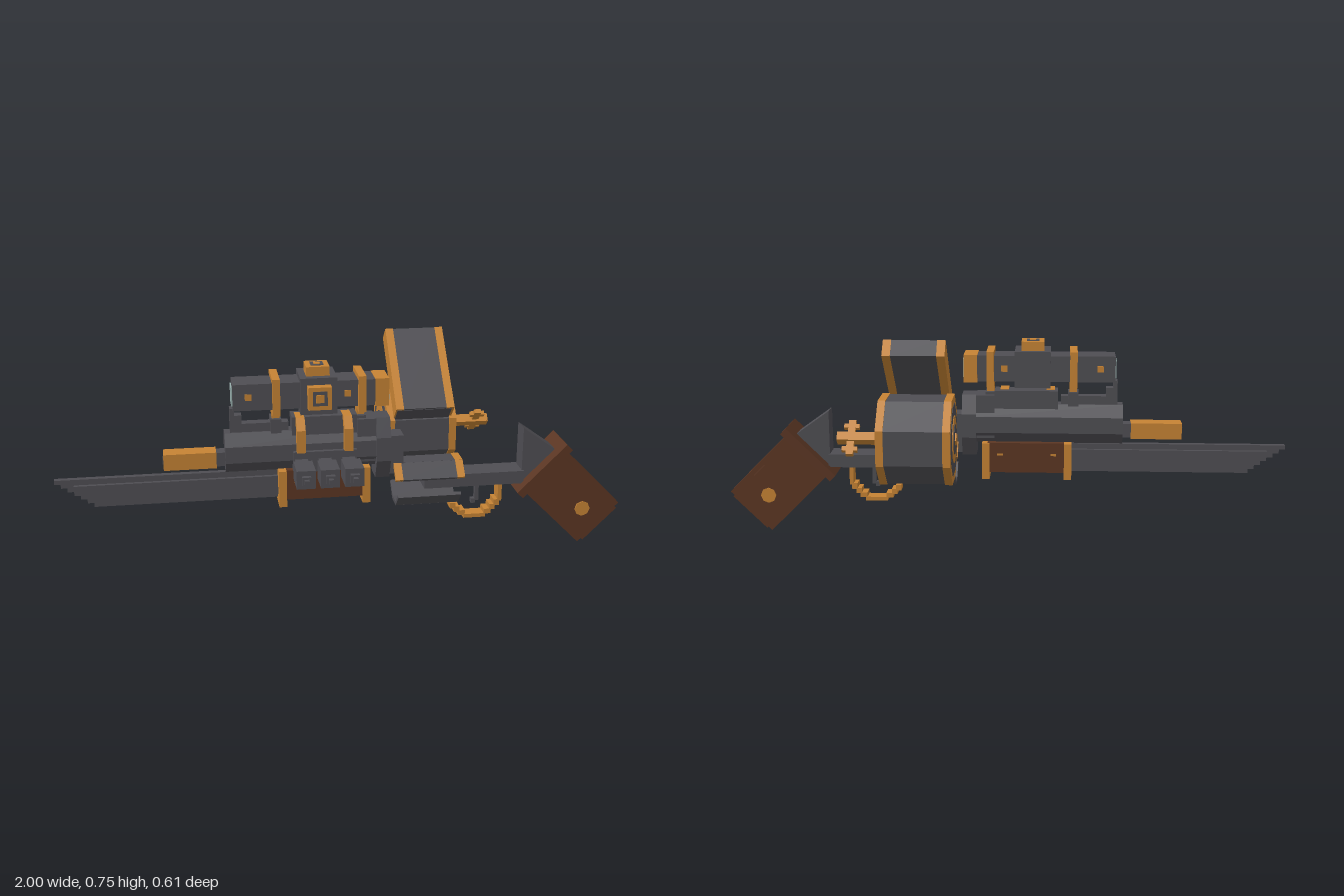
import * as THREE from 'three';

const material = (name, color) => {
  const m = new THREE.MeshStandardMaterial({ color, side: THREE.DoubleSide });
  m.name = name;
  return m;
};

export function createModel() {
  const model = new THREE.Group();
  model.name = 'rifle';
  const steel = material('steel', 0x4f4e53);
  const brass = material('brass', 0xc68334);
  const wood = material('wood', 0x5b3623);
  const glass = material('glass', 0x98afad);
  const CZ = 0.065; // barrel centre plane

  const add = (name, geometry, mat, parent = model) => {
    const mesh = new THREE.Mesh(geometry, mat);
    mesh.name = name;
    parent.add(mesh);
    return mesh;
  };
  // box from its limits
  const box = (name, mat, x0, x1, y0, y1, z0, z1, parent) => {
    const mesh = add(name, new THREE.BoxGeometry(x1 - x0, y1 - y0, z1 - z0), mat, parent);
    mesh.position.set((x0 + x1) / 2, (y0 + y1) / 2, (z0 + z1) / 2);
    return mesh;
  };
  // box centred on the barrel plane, with half width w
  const mid = (name, mat, x0, x1, y0, y1, w) => box(name, mat, x0, x1, y0, y1, CZ - w, CZ + w);
  // cross-section of [z, y] points drawn out along x
  const prism = (name, mat, points, x0, x1) => {
    const shape = new THREE.Shape(points.map(([z, y]) => new THREE.Vector2(-z, y)));
    const geo = new THREE.ExtrudeGeometry(shape, { depth: x1 - x0, bevelEnabled: false });
    geo.rotateY(Math.PI / 2).translate(x0, 0, 0);
    return add(name, geo, mat);
  };
  // side outline of [x, y] points with half width w
  const profile = (name, mat, points, w) => {
    const shape = new THREE.Shape(points.map(([x, y]) => new THREE.Vector2(x, y)));
    const geo = new THREE.ExtrudeGeometry(shape, { depth: 2 * w, bevelEnabled: false });
    return add(name, geo.translate(0, 0, CZ - w), mat);
  };
  const octagon = (cz, cy, rz, ry = rz) => {
    const k = Math.SQRT2 - 1;
    return [[1, k], [k, 1], [-k, 1], [-1, k], [-1, -k], [-k, -1], [k, -1], [1, -k]]
      .map(([z, y]) => [cz + z * rz, cy + y * ry]);
  };

  // blade: thin edge with a thicker core, both with stepped tips
  const blade = (name, x0, x1, slope, y0, y1, w) => {
    const points = [[x1, y0], [x1, y1], [x0, y1]];
    const steps = 7;
    for (let i = 1; i <= steps; i++) {
      const y = y1 - (y1 - y0) * i / steps;
      points.push([x0 + slope * (i - 1) / steps, y], [x0 + slope * i / steps, y]);
    }
    profile(name, steel, points, w);
  };
  blade('bladeEdge', -1, -0.2, 0.15, 0.237, 0.34, 0.01);
  blade('bladeCore', -0.935, -0.2, 0.08, 0.252, 0.32, 0.023);

  // barrel and muzzle
  mid('muzzle', brass, -0.63, -0.45, 0.363, 0.42, 0.03);
  mid('muzzleBore', steel, -0.633, -0.629, 0.38, 0.403, 0.012);
  mid('muzzleNeck', steel, -0.45, -0.42, 0.367, 0.416, 0.023);
  prism('barrel', steel, octagon(CZ, 0.415, 0.055, 0.07), -0.42, 0.1);
  [[-0.4, -0.385, 0.57], [-0.385, -0.36, 0.545], [-0.36, -0.2, 0.515]]
    .forEach(([x0, x1, top]) => mid('frontSight', steel, x0, x1, 0.46, top, 0.018));
  mid('scopeRail', steel, -0.19, 0.035, 0.47, 0.535, 0.035);
  mid('rearBreech', steel, 0.035, 0.1, 0.365, 0.52, 0.045);
  prism('collar', steel, [[0, 0.455], [0.03, 0.52], [0.1, 0.52], [0.13, 0.455], [0.13, 0.37],
    [0.1, 0.3], [0.03, 0.3], [0, 0.37]], 0.1, 0.15);
  mid('breechLink', steel, 0.15, 0.2, 0.31, 0.45, 0.035);

  // wooden foregrip with brass bands
  mid('foregrip', wood, -0.225, 0.06, 0.24, 0.348, 0.05);
  for (const x of [-0.24, 0.052]) mid('foregripBand', brass, x, x + 0.027, 0.217, 0.348, 0.06);
  for (const x of [-0.175, 0.015]) mid('foregripScrew', brass, x - 0.01, x + 0.01, 0.302, 0.31, 0.052);

  // side straps and the three valves
  box('valveBase', steel, -0.19, 0.03, 0.348, 0.42, 0.1, 0.135);
  for (const x of [-0.163, 0]) {
    prism('strap', brass, [[0.145, 0.42], [0.145, 0.5], [0.113, 0.537], [0.05, 0.537],
      [0.05, 0.52], [0.1, 0.52], [0.115, 0.495], [0.115, 0.42]], x - 0.015, x + 0.015);
  }
  for (const x of [-0.163, -0.082, 0]) {
    [[0.13, 0.18, 0.022], [0.18, 0.275, 0.032], [0.275, 0.291, 0.015], [0.291, 0.307, 0.008]]
      .forEach(([z0, z1, r]) => box('valve', steel, x - r, x + r, 0.373 - r, 0.373 + r, z0, z1));
  }

  // scope
  mid('scopeTube', steel, -0.39, 0.1, 0.571, 0.663, 0.049);
  mid('scopeHousing', steel, -0.163, -0.037, 0.552, 0.68, 0.065);
  mid('eyepiece', brass, 0.095, 0.143, 0.567, 0.665, 0.05);
  mid('eyepieceGlass', glass, 0.143, 0.147, 0.583, 0.648, 0.032);
  mid('objectiveGlass', glass, -0.394, -0.39, 0.583, 0.648, 0.032);
  for (const x of [-0.257, 0.036]) {
    mid('scopeRing', brass, x, x + 0.026, 0.552, 0.68, 0.065);
    mid('scopeFoot', brass, x, x + 0.026, 0.505, 0.552, 0.018);
    mid('scopeFootBase', steel, x - 0.005, x + 0.031, 0.48, 0.53, 0.032);
  }
  mid('topKnob', brass, -0.14, -0.06, 0.68, 0.712, 0.04);
  mid('topKnobCap', steel, -0.122, -0.078, 0.712, 0.714, 0.022);
  mid('topKnobPin', brass, -0.111, -0.089, 0.714, 0.716, 0.011);
  box('sideKnob', brass, -0.14, -0.06, 0.577, 0.656, 0.13, 0.161);
  box('sideKnobCap', steel, -0.125, -0.075, 0.592, 0.642, 0.161, 0.163);
  box('sideKnobPin', brass, -0.114, -0.086, 0.603, 0.631, 0.163, 0.165);
  for (const x of [-0.338, 0]) mid('scopeScrew', brass, x - 0.011, x + 0.011, 0.607, 0.629, 0.052);

  // large drum with ringed end faces
  const DY = 0.405, DZ = -0.161;
  prism('drum', steel, octagon(DZ, DY, 0.143), 0.185, 0.395);
  for (const x of [0.165, 0.388]) prism('drumRim', brass, octagon(DZ, DY, 0.146), x, x + 0.026);
  const disc = (name, mat, x, r) => {
    const mesh = add(name, new THREE.CylinderGeometry(r, r, 0.003, 16).rotateZ(Math.PI / 2), mat);
    mesh.position.set(x, DY, DZ);
  };
  for (const [x, s] of [[0.165, -1], [0.414, 1]]) {
    prism('drumFace', steel, octagon(DZ, DY, 0.118), x - 0.0015, x + 0.0015);
    disc('drumRing', brass, x + s * 0.002, 0.082);
    disc('drumHub', steel, x + s * 0.004, 0.052);
  }

  // crank on the drum axis
  const crank = new THREE.Group();
  crank.name = 'crank';
  crank.position.set(0, DY, DZ);
  crank.rotation.x = Math.PI / 4;
  model.add(crank);
  box('crankShaft', brass, 0.41, 0.565, -0.016, 0.016, -0.016, 0.016, crank);
  box('crankBoss', brass, 0.155, 0.17, -0.016, 0.016, -0.016, 0.016, crank);
  box('crankBar', brass, 0.505, 0.53, -0.068, 0.068, -0.008, 0.008, crank);
  for (const s of [-1, 1]) box('crankGrip', brass, 0.492, 0.545, s * 0.045 - 0.008, s * 0.045 + 0.008, -0.008, 0.008, crank);

  // raised lid above the drum
  const lid = new THREE.Group();
  lid.name = 'lid';
  lid.position.set(0, 0.615, -0.107);
  lid.rotation.x = Math.PI / 4;
  model.add(lid);
  box('lidPanel', steel, 0.212, 0.368, -0.032, 0.032, -0.163, 0.163, lid);
  for (const x of [0.185, 0.366]) box('lidEdge', brass, x, x + 0.028, -0.033, 0.033, -0.164, 0.164, lid);
  prism('lidHinge', steel, [[0.03, 0.517], [-0.065, 0.517], [-0.02, 0.468]], 0.19, 0.385);

  // lower cage of six panels, open at the sides
  const panel = (name, mat, x0, x1, angle, a) => {
    const mesh = add(name, new THREE.BoxGeometry(x1 - x0, 0.012, 0.067), mat);
    mesh.position.set((x0 + x1) / 2, 0.268 + Math.cos(angle) * a, CZ + Math.sin(angle) * a);
    mesh.rotation.x = angle;
  };
  for (const k of [-1, 0, 1]) {
    panel('cageTop', steel, 0.185, 0.39, k * Math.PI / 4, 0.074);
    panel('cageBand', brass, 0.165, 0.192, k * Math.PI / 4, 0.076);
    panel('cageBand', brass, 0.385, 0.412, k * Math.PI / 4, 0.076);
    panel('cageBottom', steel, 0.175, 0.4, Math.PI + k * Math.PI / 4, 0.074);
  }

  // frame, trigger and stepped guard
  mid('frameRail', steel, 0.275, 0.635, 0.25, 0.297, 0.045);
  mid('trigger', steel, 0.468, 0.482, 0.18, 0.25, 0.01);
  mid('triggerTip', steel, 0.455, 0.47, 0.17, 0.187, 0.01);
  [[0.375, 0.395, 0.16, 0.18], [0.39, 0.41, 0.145, 0.165], [0.405, 0.43, 0.132, 0.15],
    [0.425, 0.505, 0.12, 0.134], [0.5, 0.525, 0.132, 0.15], [0.52, 0.54, 0.147, 0.167],
    [0.535, 0.555, 0.162, 0.185], [0.549, 0.563, 0.18, 0.25]]
    .forEach(([x0, x1, y0, y1]) => mid('triggerGuard', brass, x0, x1, y0, y1, 0.025));
  profile('stockWedge', steel, [[0.63, 0.25], [0.79, 0.34], [0.63, 0.455]], 0.035);

  // slanted stock
  const stock = new THREE.Group();
  stock.name = 'stock';
  stock.position.set(0.817, 0.188, CZ);
  stock.rotation.z = -Math.PI / 4;
  model.add(stock);
  box('stockCore', wood, -0.15, 0.15, -0.103, 0.103, -0.049, 0.049, stock);
  box('stockSides', wood, -0.15, 0.15, -0.084, 0.084, -0.065, 0.065, stock);
  box('stockPlate', wood, -0.178, -0.148, -0.122, 0.122, -0.08, 0.08, stock);
  for (const s of [-1, 1]) {
    const stud = add('stockStud', new THREE.CylinderGeometry(0.028, 0.028, 0.006, 8).rotateX(Math.PI / 2), brass, stock);
    stud.position.set(0.054, -0.003, s * 0.066);
  }
  return model;
}
